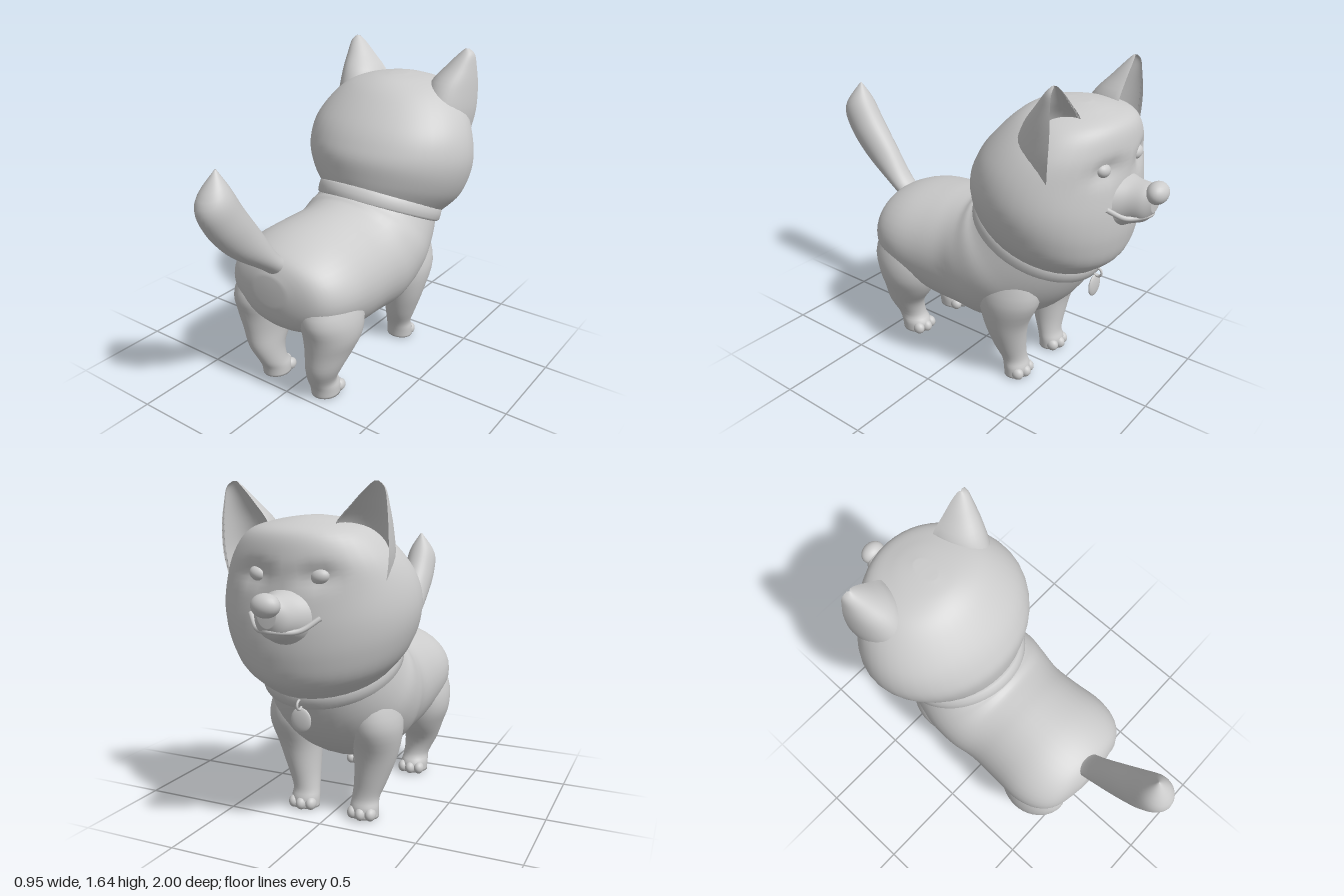
import * as THREE from 'three';

const material = new THREE.MeshStandardMaterial({ color: 0xcccccc });
const thinMaterial = new THREE.MeshStandardMaterial({ color: 0xcccccc, side: THREE.DoubleSide });
const SEGMENTS = 40;

// Closed skin over rings of points; both ends are capped to the ring centres.
function skin(rings, flip) {
  const n = rings[0].length;
  const collapse = (ring) => {
    const c = ring.reduce((s, p) => s.add(p), new THREE.Vector3()).divideScalar(n);
    return ring.map(() => c);
  };
  const rows = [collapse(rings[0]), ...rings, collapse(rings[rings.length - 1])];
  const index = [];
  for (let i = 0; i < rows.length - 1; i++) {
    for (let j = 0; j < n; j++) {
      const a = i * n + j, b = i * n + (j + 1) % n, c = a + n, d = b + n;
      if (flip) index.push(a, c, b, b, c, d);
      else index.push(a, b, c, b, d, c);
    }
  }
  const geometry = new THREE.BufferGeometry().setFromPoints(rows.flat());
  geometry.setIndex(index);
  geometry.computeVertexNormals();
  return geometry;
}

// Smoothly interpolates a list of number tuples.
function smooth(table, count) {
  const columns = table[0].map((_, k) => new THREE.SplineCurve(
    table.map((row, i) => new THREE.Vector2(i, row[k]))));
  return Array.from({ length: count + 1 }, (_, i) => columns.map((c) => c.getPoint(i / count).y));
}

// Oval sections: [zA, yA, zB, yB, halfWidth, centreX], A and B being opposite ends.
function loft(sections, { side = 1, count = 24, deform } = {}) {
  const rows = smooth(sections, count);
  const rings = rows.map(([zA, yA, zB, yB, w, cx = 0]) =>
    Array.from({ length: SEGMENTS }, (_, j) => {
      const t = (j / SEGMENTS) * Math.PI * 2, c = Math.cos(t) / 2;
      const p = new THREE.Vector3(
        cx * side + w * Math.sin(t),
        (yA + yB) / 2 + (yB - yA) * c,
        (zA + zB) / 2 + (zB - zA) * c);
      if (deform) deform(p);
      return p;
    }));
  const first = rows[0], last = rows[count], mid = rows[count >> 1];
  const pz = last[0] + last[2] - first[0] - first[2];
  const py = last[1] + last[3] - first[1] - first[3];
  return skin(rings, py * (mid[2] - mid[0]) - pz * (mid[3] - mid[1]) < 0);
}

export function createModel() {
  const model = new THREE.Group();
  const add = (name, geometry, mat = material, parent = model) => {
    const mesh = new THREE.Mesh(geometry, mat);
    mesh.name = name;
    parent.add(mesh);
    return mesh;
  };
  const ball = (name, x, y, z, rx, ry, rz, parent = model) => {
    const mesh = add(name, new THREE.SphereGeometry(1, 24, 16), material, parent);
    mesh.position.set(x, y, z);
    mesh.scale.set(rx, ry, rz);
    return mesh;
  };

  // Body from rump to neck
  add('body', loft([
    [0.605, 0.71, 0.605, 0.56, 0.09],
    [0.565, 0.79, 0.575, 0.46, 0.24],
    [0.48, 0.84, 0.51, 0.39, 0.32],
    [0.36, 0.875, 0.38, 0.33, 0.355],
    [0.2, 0.895, 0.2, 0.265, 0.345],
    [0.1, 0.9, 0, 0.25, 0.34],
    [0.03, 0.905, -0.18, 0.255, 0.36],
    [0, 0.92, -0.4, 0.36, 0.365],
    [-0.02, 0.925, -0.55, 0.5, 0.345],
    [-0.04, 0.945, -0.64, 0.66, 0.325],
    [-0.1, 1.05, -0.65, 0.76, 0.31],
  ], { count: 40 }));

  // Head with hollows at the eyes and a lifted brow
  add('head', loft([
    [-0.05, 0.94, -0.66, 0.67, 0.325],
    [-0.04, 1.02, -0.77, 0.76, 0.41],
    [-0.04, 1.12, -0.81, 0.88, 0.46],
    [-0.07, 1.2, -0.82, 1.02, 0.475],
    [-0.12, 1.28, -0.81, 1.18, 0.45],
    [-0.2, 1.37, -0.81, 1.32, 0.385],
    [-0.28, 1.44, -0.78, 1.43, 0.29],
    [-0.36, 1.48, -0.68, 1.475, 0.16],
    [-0.45, 1.495, -0.58, 1.495, 0.04],
  ], {
    count: 48,
    deform: (p) => {
      if (p.z > -0.6) return;
      const d = ((Math.abs(p.x) - 0.15) / 0.07) ** 2 + ((p.y - 1.25) / 0.05) ** 2;
      p.z += 0.035 * Math.exp(-d);
    },
  }));

  // Face
  add('muzzle', loft([
    [-0.75, 0.92, -0.75, 1.21, 0.17],
    [-0.84, 0.97, -0.84, 1.185, 0.11],
    [-0.91, 1.0, -0.91, 1.18, 0.08],
    [-0.945, 1.05, -0.95, 1.17, 0.045],
  ]));
  ball('nose', 0, 1.145, -0.95, 0.066, 0.052, 0.05);
  const smile = new THREE.CatmullRomCurve3([
    [-0.17, 1.08, -0.795], [-0.1, 1.03, -0.86], [0, 1.035, -0.93],
    [0.1, 1.03, -0.86], [0.17, 1.08, -0.795],
  ].map((p) => new THREE.Vector3(...p)));
  add('mouth', new THREE.TubeGeometry(smile, 40, 0.012, 8));

  // Cupped ears: [y, centreX, halfWidth, frontZ, depth]
  const earRows = smooth([
    [1.2, 0.29, 0.1, -0.62, 0.2],
    [1.32, 0.285, 0.125, -0.635, 0.24],
    [1.45, 0.285, 0.125, -0.64, 0.2],
    [1.55, 0.32, 0.08, -0.632, 0.11],
    [1.615, 0.345, 0.042, -0.627, 0.05],
    [1.643, 0.347, 0.01, -0.62, 0.015],
  ], 20);

  const frontLeg = [
    [-0.395, 0.01, -0.27, 0.01, 0.073, 0.165],
    [-0.395, 0.06, -0.265, 0.06, 0.074, 0.165],
    [-0.38, 0.11, -0.25, 0.11, 0.07, 0.167],
    [-0.385, 0.2, -0.21, 0.2, 0.085, 0.187],
    [-0.41, 0.34, -0.17, 0.34, 0.11, 0.21],
    [-0.48, 0.5, -0.14, 0.5, 0.13, 0.215],
    [-0.47, 0.66, -0.16, 0.66, 0.1, 0.2],
  ];
  const rearLeg = [
    [0.3, 0.01, 0.46, 0.01, 0.073, 0.165],
    [0.3, 0.06, 0.47, 0.06, 0.074, 0.165],
    [0.33, 0.11, 0.495, 0.11, 0.07, 0.167],
    [0.32, 0.2, 0.53, 0.2, 0.09, 0.19],
    [0.25, 0.3, 0.54, 0.3, 0.115, 0.205],
    [0.21, 0.4, 0.555, 0.4, 0.14, 0.215],
    [0.2, 0.52, 0.58, 0.52, 0.14, 0.21],
    [0.26, 0.68, 0.52, 0.68, 0.1, 0.19],
  ];

  for (const side of [-1, 1]) {
    ball('eye', side * 0.15, 1.25, -0.752, 0.044, 0.034, 0.034).rotation.z = side * 0.25;

    const earRings = earRows.map(([y, cx, rx, zf, d]) =>
      Array.from({ length: SEGMENTS }, (_, j) => {
        const t = (j / SEGMENTS) * Math.PI * 2, s = Math.sin(t);
        return new THREE.Vector3(side * (cx + rx * Math.cos(t)), y, zf + d * (s > 0 ? s : -0.6 * s));
      }));
    add('ear', skin(earRings, side > 0), thinMaterial);

    // Legs with rounded toes
    for (const [name, sections, toeZ] of [['frontLeg', frontLeg, -0.382], ['rearLeg', rearLeg, 0.31]]) {
      const leg = new THREE.Group();
      leg.name = name;
      model.add(leg);
      add('limb', loft(sections, { side }), material, leg);
      for (const k of [-1, 0, 1]) {
        ball('toe', side * 0.165 + k * 0.047, 0.035, toeZ + Math.abs(k) * 0.014, 0.028, 0.033, 0.034, leg);
      }
    }
  }

  // Upright tail with a pointed tip
  add('tail', loft([
    [0.54, 0.68, 0.46, 0.78, 0.06],
    [0.64, 0.765, 0.55, 0.82, 0.068],
    [0.84, 0.91, 0.67, 0.995, 0.08],
    [0.965, 1.06, 0.77, 1.135, 0.088],
    [1.0, 1.19, 0.84, 1.25, 0.075],
    [0.905, 1.33, 0.893, 1.335, 0.004],
  ]));

  // Collar with a hanging tag
  const band = [[0.32, -0.042], [0.345, -0.042], [0.358, -0.03], [0.36, 0],
    [0.358, 0.03], [0.345, 0.042], [0.32, 0.042]].map((p) => new THREE.Vector2(...p));
  const collar = add('collar', new THREE.LatheGeometry(band, 64), thinMaterial);
  collar.scale.x = 0.965;
  collar.rotation.x = -0.422;
  collar.position.set(0, 0.805, -0.345);

  const ring = add('tagRing', new THREE.TorusGeometry(0.022, 0.006, 8, 24));
  ring.rotation.y = Math.PI / 2;
  ring.position.set(0, 0.655, -0.682);
  ball('tag', 0, 0.58, -0.668, 0.052, 0.058, 0.013);

  return model;
}
